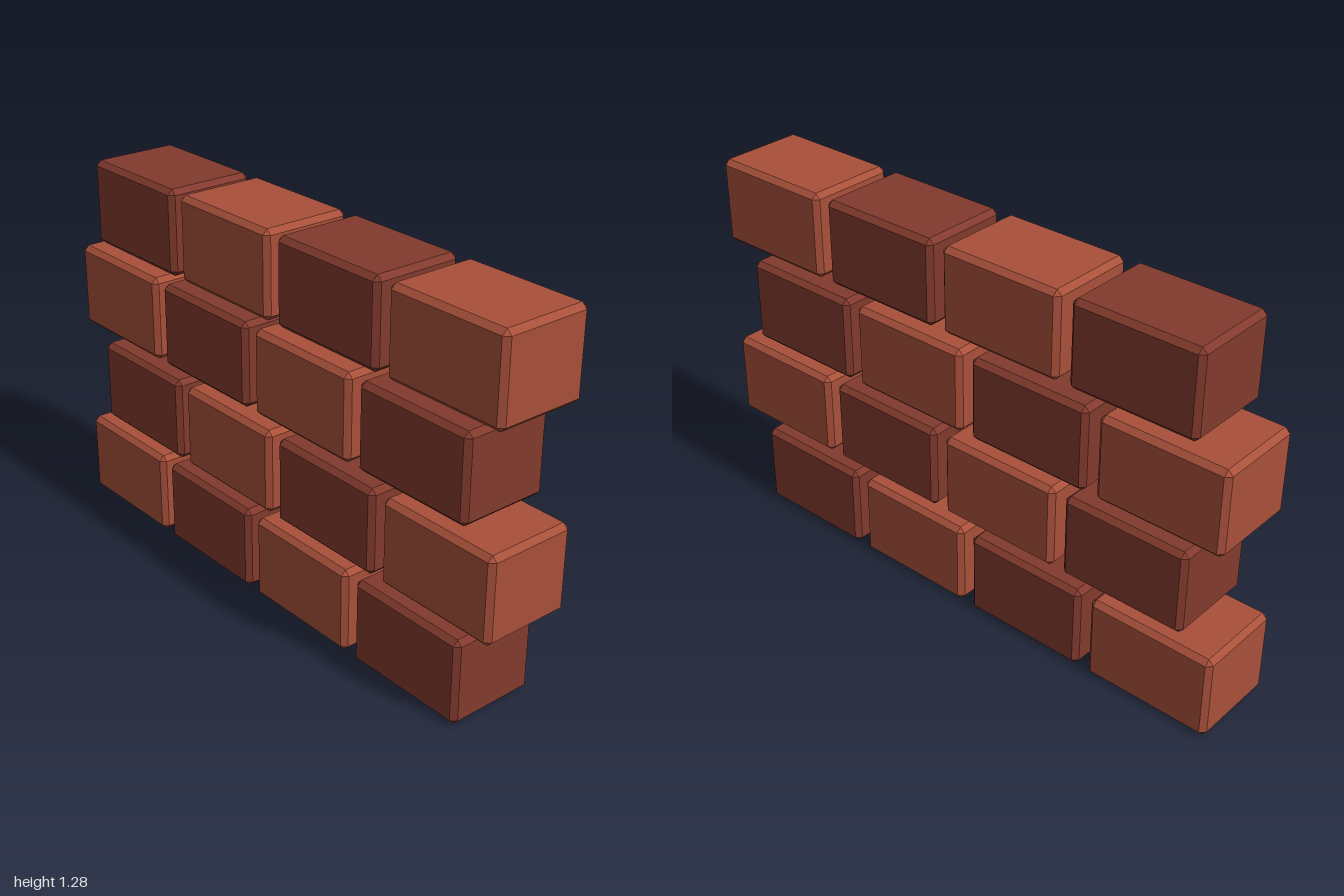
import * as THREE from 'three';
import { ConvexGeometry } from 'three/addons/geometries/ConvexGeometry.js';

const W = 0.442, H = 0.29, D = 0.314, BEVEL = 0.017;
const PITCH_X = 0.482, PITCH_Y = 0.33, STAGGER = 0.112;

// Box with every edge chamfered: three points around each corner
function chamferedBox(w, h, d, b) {
  const points = [];
  for (const sx of [-1, 1]) for (const sy of [-1, 1]) for (const sz of [-1, 1]) {
    const x = w / 2, y = h / 2, z = d / 2;
    points.push(
      new THREE.Vector3(sx * x, sy * (y - b), sz * (z - b)),
      new THREE.Vector3(sx * (x - b), sy * y, sz * (z - b)),
      new THREE.Vector3(sx * (x - b), sy * (y - b), sz * z)
    );
  }
  return new ConvexGeometry(points);
}

export function createModel() {
  const wall = new THREE.Group();
  wall.name = 'brickWall';

  const lightBrick = new THREE.MeshStandardMaterial({ color: 0xa8503a });
  lightBrick.name = 'light brick';
  const darkBrick = new THREE.MeshStandardMaterial({ color: 0x823a2d });
  darkBrick.name = 'dark brick';

  const geometry = chamferedBox(W, H, D, BEVEL);

  // Four staggered courses of four bricks in alternating colours
  for (let row = 0; row < 4; row++) {
    const course = new THREE.Group();
    course.name = `course${row + 1}`;
    course.position.set((row % 2) * STAGGER, row * PITCH_Y + H / 2, 0);
    for (let i = 0; i < 4; i++) {
      const brick = new THREE.Mesh(geometry, (row + i) % 2 ? darkBrick : lightBrick);
      brick.name = `brick${i + 1}`;
      brick.position.x = -1 + W / 2 + i * PITCH_X;
      course.add(brick);
    }
    wall.add(course);
  }
  return wall;
}
